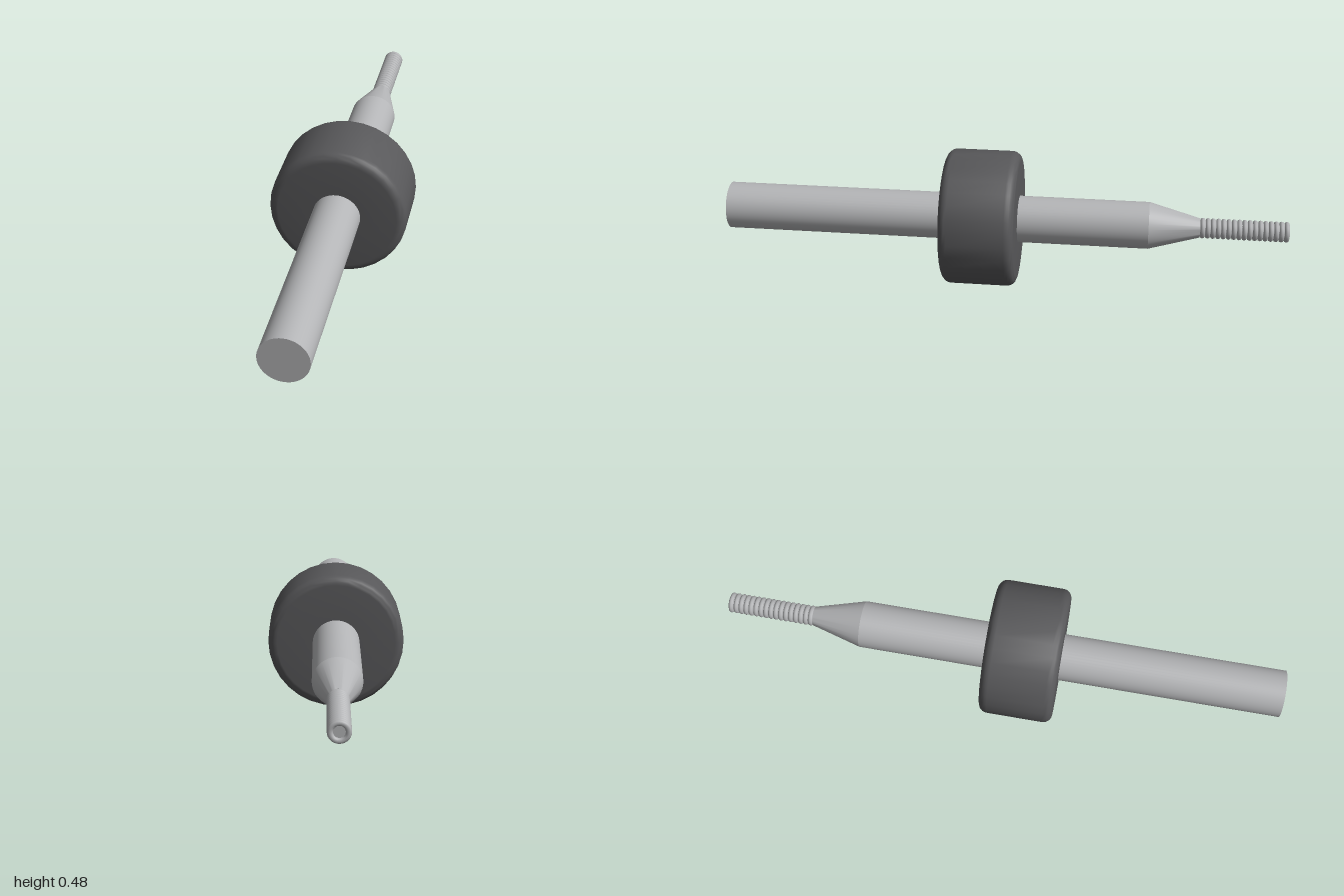
import * as THREE from 'three';
import { toCreasedNormals } from 'three/addons/utils/BufferGeometryUtils.js';

const AXIS_HEIGHT = 0.241;

export function createModel() {
  const model = new THREE.Group();
  model.name = 'threadedSpindle';

  const steel = new THREE.MeshStandardMaterial({ color: 0xb4b5b7 });
  steel.name = 'steel';
  const rubber = new THREE.MeshStandardMaterial({ color: 0x58585a });
  rubber.name = 'darkRubber';

  // Turns a profile of [radius, z] points, ordered back to front, about the z axis
  function turned(name, profile, material, sides, crease) {
    const points = profile.map(([r, z]) => new THREE.Vector2(r, z));
    const geometry = new THREE.LatheGeometry(points, sides).rotateX(Math.PI / 2);
    const mesh = new THREE.Mesh(toCreasedNormals(geometry, crease), material);
    mesh.name = name;
    mesh.position.y = AXIS_HEIGHT;
    model.add(mesh);
  }

  // Long plain shaft, closed at both ends
  turned('shaft', [[0, -0.51], [0.083, -0.51], [0.083, 1], [0, 1]], steel, 48, 0.5);

  // Taper down to the thread
  turned('taper', [[0, -0.69], [0.034, -0.69], [0.083, -0.51]], steel, 48, 0.5);

  // Thread core, set slightly back inside the last ridge
  turned('threadCore', [[0, -0.99], [0.029, -0.99], [0.029, -0.68]], steel, 24, 0.5);

  // Rounded thread ridges
  const ridges = 17;
  const pitch = 0.31 / ridges;
  const ridgeGeometry = new THREE.TorusGeometry(0.0275, pitch / 2, 8, 28);
  for (let i = 0; i < ridges; i++) {
    const ridge = new THREE.Mesh(ridgeGeometry, steel);
    ridge.name = 'threadRidge';
    ridge.position.set(0, AXIS_HEIGHT, -1 + pitch * (i + 0.5));
    model.add(ridge);
  }

  // Thick roller with rounded rims
  const back = -0.05, front = 0.212, radius = 0.241, bevel = 0.032;
  const rim = [];
  for (let i = 0; i <= 6; i++) {
    const a = (i / 6) * Math.PI / 2;
    rim.push([radius - bevel + bevel * Math.sin(a), bevel * (1 - Math.cos(a))]);
  }
  const profile = [
    [0.07, back],
    ...rim.map(([r, d]) => [r, back + d]),
    ...rim.map(([r, d]) => [r, front - d]).reverse(),
    [0.07, front],
  ];
  turned('roller', profile, rubber, 32, 0.6);

  return model;
}
